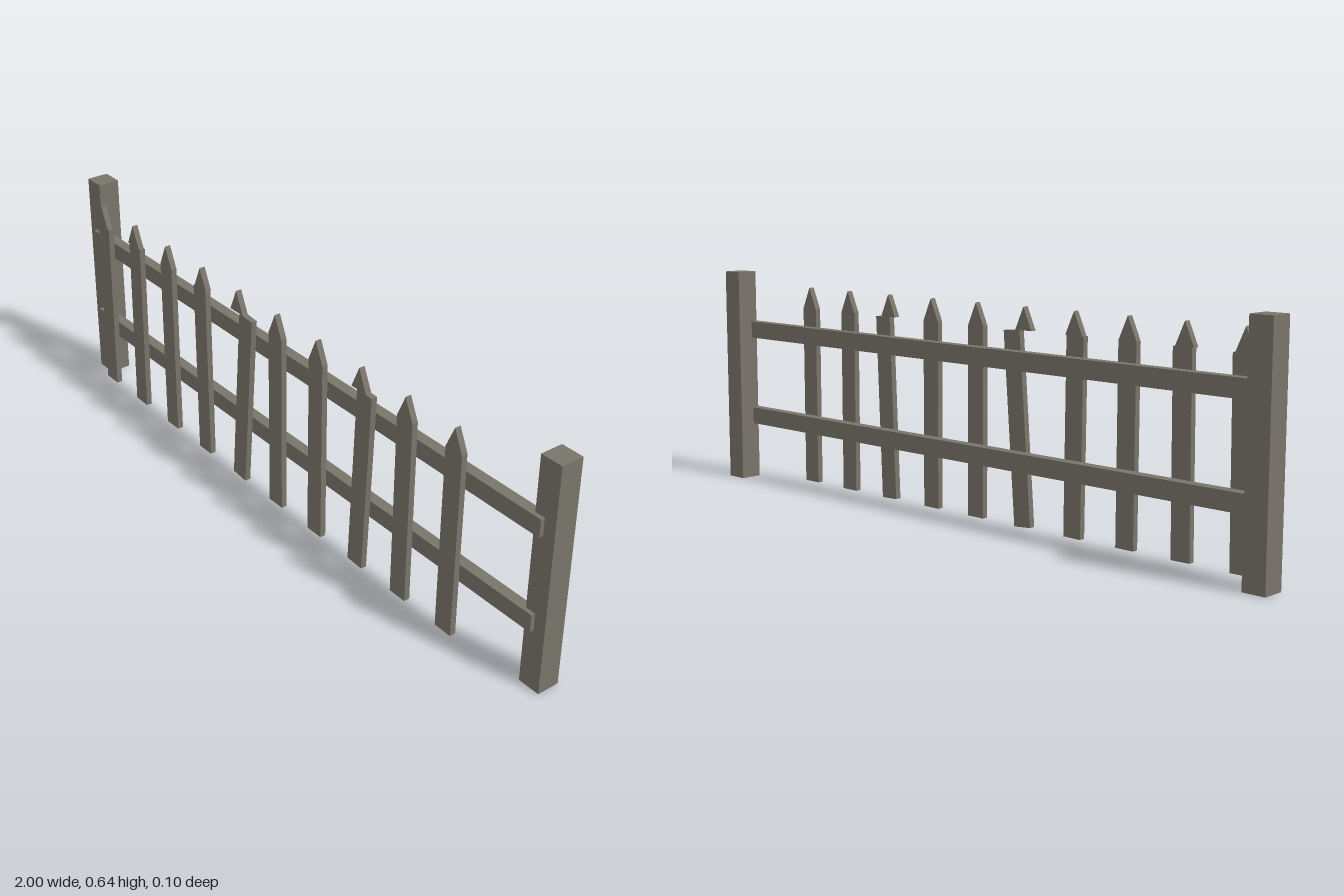
import * as THREE from 'three';

const wood = new THREE.MeshStandardMaterial({ color: 0x78746a });
wood.name = 'weathered wood';

function box(name, w, h, d, x, y, z) {
  const mesh = new THREE.Mesh(new THREE.BoxGeometry(w, h, d), wood);
  mesh.name = name;
  mesh.position.set(x, y, z);
  return mesh;
}

// Picket: a board leaning about its foot, with a separate upright pointed tip
const FOOT = 0.013, BOARD = 0.53, WIDTH = 0.057, THICK = 0.017, BACK = 0.033;

function picket(x, lean) {
  const group = new THREE.Group();
  group.name = 'picket';
  group.position.set(x, FOOT, BACK);

  const board = new THREE.Group();
  board.name = 'picketBoard';
  board.rotation.z = -lean;
  board.add(box('board', WIDTH, BOARD, THICK, 0, BOARD / 2, THICK / 2));

  const shape = new THREE.Shape();
  shape.moveTo(-WIDTH / 2, 0);
  shape.lineTo(WIDTH / 2, 0);
  shape.lineTo(0, 0.063);
  shape.closePath();
  const tip = new THREE.Mesh(
    new THREE.ExtrudeGeometry(shape, { depth: THICK, bevelEnabled: false }), wood);
  tip.name = 'picketTip';
  tip.position.y = BOARD;

  group.add(board, tip);
  return group;
}

export function createModel() {
  const fence = new THREE.Group();
  fence.name = 'picketFence';

  // End posts
  fence.add(box('leftPost', 0.065, 0.645, 0.065, 0.9675, 0.3225, -0.0165));
  fence.add(box('rightPost', 0.065, 0.645, 0.065, -0.9675, 0.3225, -0.0165));

  // Horizontal rails, let into the posts
  fence.add(box('lowerRail', 1.93, 0.05, 0.031, 0, 0.195, 0.0125));
  fence.add(box('upperRail', 1.93, 0.05, 0.031, 0, 0.465, 0.0125));

  // Evenly spaced pickets, some of them leaning
  const leans = [0.013, 0.012, 0, -0.008, 0.079, 0, 0, 0.042, 0, 0];
  leans.forEach((lean, i) => fence.add(picket(-0.872 + i * 0.1743, lean)));

  return fence;
}
